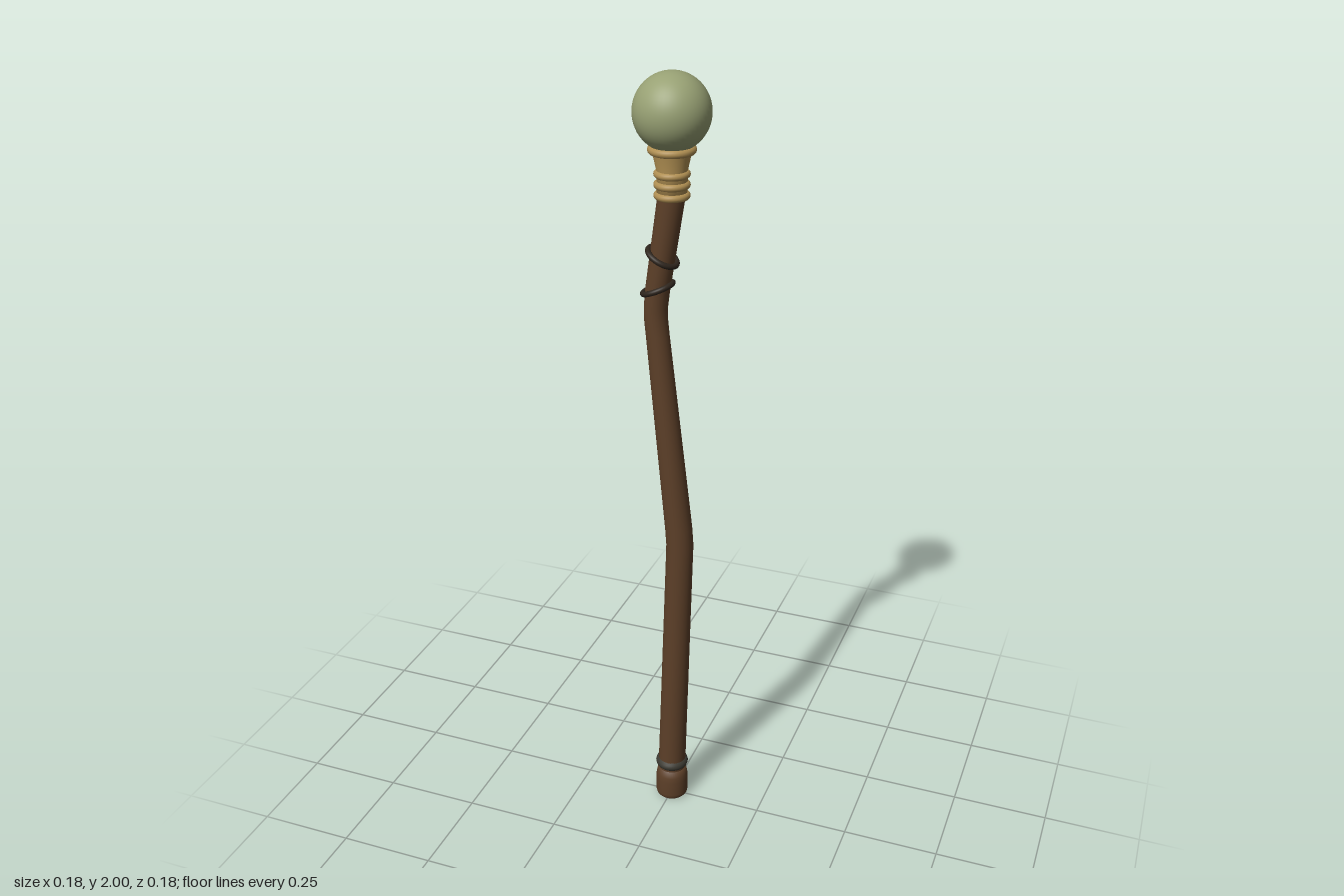
import * as THREE from 'three';

const material = (color) => new THREE.MeshStandardMaterial({ color });
const wood = material(0x5c3f28);
const gold = material(0xb08f52);
const cord = material(0x2e251d);
const iron = material(0x3c3a32);
const glass = material(0x98a174);

function addMesh(parent, name, geometry, mat, x = 0, y = 0) {
  const mesh = new THREE.Mesh(geometry, mat);
  mesh.name = name;
  mesh.position.set(x, y, 0);
  parent.add(mesh);
  return mesh;
}

// Horizontal ring, tilted in the front plane
function addRing(parent, name, mat, radius, tube, x, y, tilt = 0) {
  const geometry = new THREE.TorusGeometry(radius, tube, 12, 40).rotateX(Math.PI / 2);
  addMesh(parent, name, geometry, mat, x, y).rotation.z = tilt;
}

function lathe(profile) {
  return new THREE.LatheGeometry(profile.map(([r, y]) => new THREE.Vector2(r, y)), 40);
}

// Crooked shaft: a cylinder whose rows are moved to stations [y, x, radius]
function shaftGeometry() {
  const stations = [
    [0.05, 0, 0.037], [0.1, 0, 0.037], [0.75, 0.02, 0.035], [0.8, 0.0215, 0.035], [0.85, 0.018, 0.035],
    [1.37, -0.037, 0.029], [1.41, -0.041, 0.029], [1.44, -0.041, 0.029], [1.48, -0.037, 0.03], [1.73, 0.001, 0.033],
  ];
  const last = stations.length - 1;
  const geometry = new THREE.CylinderGeometry(1, 1, last, 24, last);
  const p = geometry.attributes.position;
  for (let i = 0; i < p.count; i++) {
    const [y, x, r] = stations[Math.round(p.getY(i) + last / 2)];
    p.setXYZ(i, x + p.getX(i) * r, y, p.getZ(i) * r);
  }
  geometry.computeVertexNormals();
  // Match the normals along the side seam
  const n = geometry.attributes.normal;
  for (let row = 0; row <= last; row++) {
    const a = row * 25, b = a + 24;
    const v = new THREE.Vector3(n.getX(a) + n.getX(b), n.getY(a) + n.getY(b), n.getZ(a) + n.getZ(b)).normalize();
    n.setXYZ(a, v.x, v.y, v.z);
    n.setXYZ(b, v.x, v.y, v.z);
  }
  return geometry;
}

export function createModel() {
  const staff = new THREE.Group();
  staff.name = 'walkingStaff';

  addMesh(staff, 'shaft', shaftGeometry(), wood);

  // Rounded foot with its iron band
  addMesh(staff, 'foot', lathe([
    [0, 0], [0.038, 0], [0.042, 0.005], [0.044, 0.015], [0.044, 0.055], [0.042, 0.07], [0.037, 0.09], [0, 0.1],
  ]), wood);
  addRing(staff, 'footBand', iron, 0.029, 0.015, 0, 0.108);

  // Two slanted cords around the upper shaft
  addRing(staff, 'upperCord', cord, 0.038, 0.007, -0.024, 1.567, -0.5);
  addRing(staff, 'lowerCord', cord, 0.038, 0.007, -0.036, 1.488, 0.38);

  // Ribbed collar flaring into a cup
  const collar = new THREE.Group();
  collar.name = 'collar';
  staff.add(collar);
  addMesh(collar, 'collarBody', lathe([
    [0, 1.71], [0.036, 1.71], [0.036, 1.775], [0.046, 1.82], [0.046, 1.83], [0, 1.83],
  ]), gold);
  for (const y of [1.718, 1.743, 1.768]) addRing(collar, 'collarRib', gold, 0.034, 0.009, 0, y);
  addRing(collar, 'collarRim', gold, 0.047, 0.01, 0, 1.824);

  // Ball knob
  addMesh(staff, 'knob', new THREE.SphereGeometry(0.091, 48, 32), glass, 0, 1.909);

  return staff;
}
